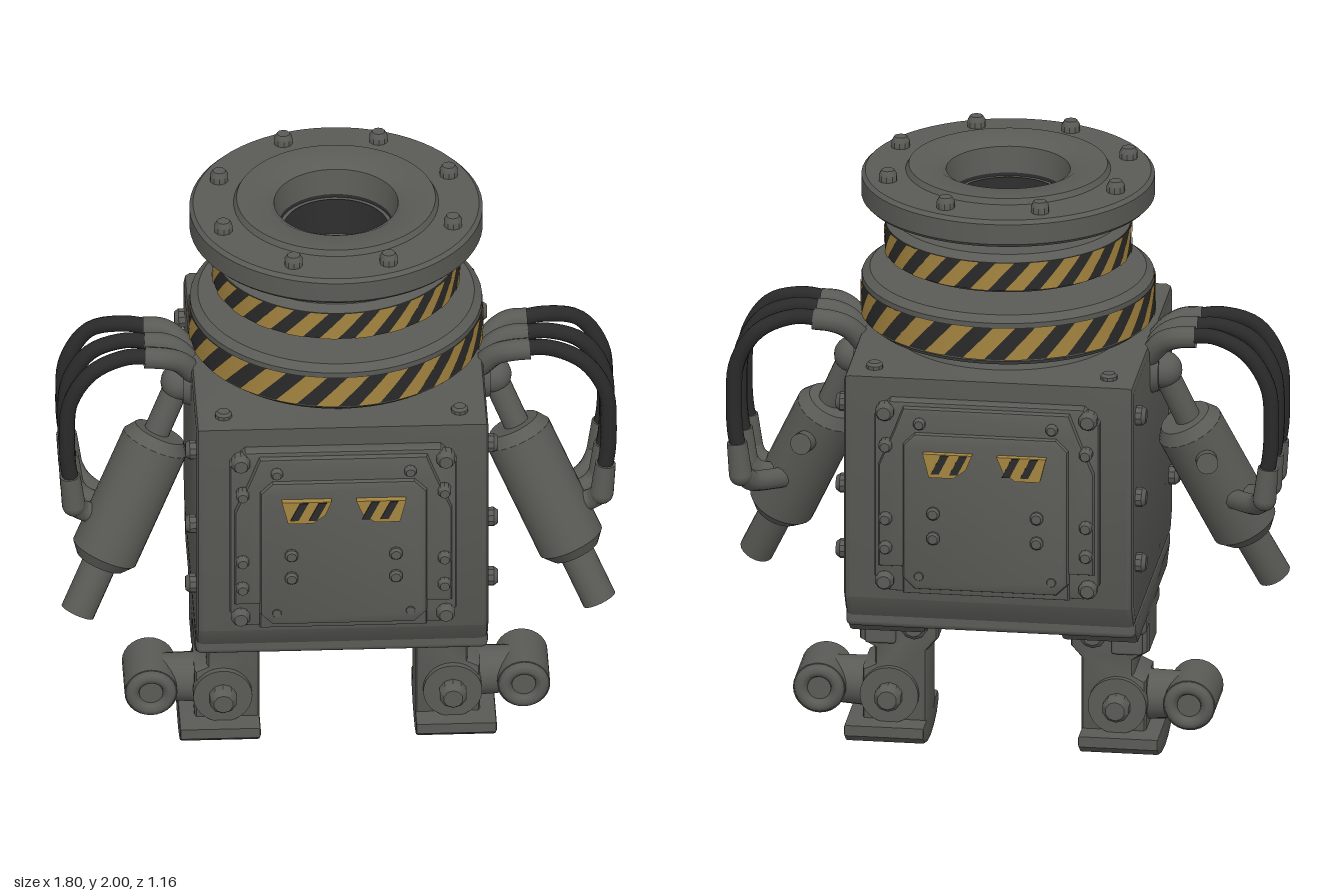
import * as THREE from 'three';
import { RoundedBoxGeometry } from 'three/addons/geometries/RoundedBoxGeometry.js';
import { toCreasedNormals } from 'three/addons/utils/BufferGeometryUtils.js';

const V = (x, y, z) => new THREE.Vector3(x, y, z);

export function createModel() {
  const mat = (name, color, side = THREE.FrontSide) => {
    const m = new THREE.MeshStandardMaterial({ color, side });
    m.name = name;
    return m;
  };
  const metal = mat('grey metal', 0x5a5a56, THREE.DoubleSide);
  const dark = mat('black rubber', 0x2a2a2a, THREE.DoubleSide);
  const yellow = mat('warning yellow', 0xa58540, THREE.DoubleSide);

  const root = new THREE.Group();
  const group = (name, parent = root) => {
    const g = new THREE.Group();
    g.name = name;
    parent.add(g);
    return g;
  };
  const add = (parent, name, geo, material = metal, x = 0, y = 0, z = 0) => {
    const m = new THREE.Mesh(geo, material);
    m.name = name;
    m.position.set(x, y, z);
    parent.add(m);
    return m;
  };
  const lathe = (pts, seg = 56) => toCreasedNormals(
    new THREE.LatheGeometry(pts.map(p => new THREE.Vector2(...p)), seg), 0.6);
  const extrude = (pts, depth, bevel = 0.012) => {
    const g = new THREE.ExtrudeGeometry(new THREE.Shape(pts.map(p => new THREE.Vector2(...p))), {
      depth: depth - 2 * bevel, bevelEnabled: bevel > 0, bevelThickness: bevel,
      bevelSize: bevel, bevelOffset: -bevel, bevelSegments: 2, curveSegments: 8 });
    g.translate(0, 0, bevel - depth / 2);
    return toCreasedNormals(g, 0.6);
  };
  // Cylinder between two points
  const rod = (parent, name, a, b, r0, r1 = r0, material = metal, sides = 20) => {
    const d = b.clone().sub(a);
    const m = add(parent, name, new THREE.CylinderGeometry(r1, r0, d.length(), sides), material);
    m.position.copy(a).addScaledVector(d, 0.5);
    m.quaternion.setFromUnitVectors(V(0, 1, 0), d.normalize());
    return m;
  };
  const tube = (parent, name, pts, r, material) => add(parent, name,
    new THREE.TubeGeometry(new THREE.CatmullRomCurve3(pts), 28, r, 10), material);
  // Domed bolt whose base sits at p and points along dir
  const bolt = (parent, p, dir, r, h) => {
    const m = add(parent, 'bolt', lathe([[r, 0], [r, h * 0.65], [r * 0.7, h], [0, h]], 10));
    m.position.copy(p);
    m.quaternion.setFromUnitVectors(V(0, 1, 0), dir);
    return m;
  };

  // Body with chamfered lower edges, and the skirt below it
  const body = group('body');
  const shell = extrude([[-0.43, 0.57], [0.43, 0.57], [0.48, 0.65], [0.48, 1.41], [-0.48, 1.41], [-0.48, 0.65]], 0.94, 0.02);
  add(body, 'bodyShell', shell.rotateY(-Math.PI / 2));
  add(body, 'skirt', new RoundedBoxGeometry(0.94, 0.065, 0.86, 2, 0.02), metal, 0, 0.56, 0);
  for (const sx of [-1, 1]) for (const sz of [-1, 1]) {
    for (const y of [1.29, 1.01, 0.785]) bolt(body, V(sx * 0.465, y, sz * 0.4), V(sx, 0, 0), 0.032, 0.038);
    bolt(body, V(sx * 0.38, 1.405, sz * 0.395), V(0, 1, 0), 0.028, 0.025);
  }

  // Armoured panel, used on the front and the back
  const octagon = (w, y0, y1, c) => [[-w + c, y0], [w - c, y0], [w, y0 + c], [w, y1 - c],
    [w - c, y1], [-w + c, y1], [-w, y1 - c], [-w, y0 + c]];
  const panel = name => {
    const p = group(name);
    add(p, 'panelBase', extrude(octagon(0.365, 0.69, 1.345, 0.05), 0.06), metal, 0, 0, 0.49);
    add(p, 'panelFrame', extrude([[-0.27, 0.69], [0.27, 0.69], [0.27, 0.78], [0.35, 0.78], [0.35, 1.13],
      [0.3, 1.25], [0.27, 1.33], [-0.27, 1.33], [-0.3, 1.25], [-0.35, 1.13], [-0.35, 0.78], [-0.27, 0.78]], 0.06, 0.015), metal, 0, 0, 0.51);
    add(p, 'panelDoor', extrude(octagon(0.27, 0.71, 1.25, 0.04), 0.06, 0.02), metal, 0, 0, 0.527);
    for (const s of [-1, 1]) {
      for (const y of [1.31, 0.73]) bolt(p, V(s * 0.33, y, 0.5), V(0, 0, 1), 0.031, 0.05);
      for (const y of [1.2, 0.95, 0.85]) bolt(p, V(s * 0.325, y, 0.525), V(0, 0, 1), 0.022, 0.04);
      for (const y of [0.98, 0.895]) bolt(p, V(s * 0.168, y, 0.55), V(0, 0, 1), 0.022, 0.025);
      for (const y of [1.28, 0.76]) bolt(p, V(s * 0.215, y, 0.53), V(0, 0, 1), 0.02, 0.03);
      // Slanted eye slot with warning stripes
      add(p, 'eye', extrude([[s * 0.04, 1.19], [s * 0.2, 1.19], [s * 0.18, 1.11], [s * 0.1, 1.11], [s * 0.06, 1.14]],
        0.04, 0), yellow, 0, 0, 0.558);
      for (const x of [0.085, 0.145]) {
        const c = s * x;
        add(p, 'eyeStripe', extrude([[c - 0.028, 1.123], [c - 0.002, 1.123], [c + 0.03, 1.188], [c + 0.004, 1.188]],
          0.004, 0), dark, 0, 0, 0.58);
      }
    }
    return p;
  };
  panel('frontPanel');
  panel('backPanel').rotation.y = Math.PI;

  // Neck: stacked rings, hollow top flange
  const neck = group('neck');
  add(neck, 'neckCollar', lathe([[0, 1.4], [0.37, 1.4], [0.34, 1.47], [0, 1.47]]));
  add(neck, 'neckColumn', lathe([[0.2, 1.45], [0.2, 1.8], [0.17, 1.81], [0.22, 1.88]], 40));
  const ring = (name, r, y0, y1, inner) => add(neck, name, lathe([[inner, y0], [r - 0.025, y0], [r, y0 + 0.02],
    [r, y1 - 0.02], [r - 0.025, y1], [inner, y1]], 64));
  ring('lowerRing', 0.47, 1.46, 1.63, 0.18);
  ring('upperRing', 0.395, 1.68, 1.81, 0.17);
  add(neck, 'topFlange', lathe([[0.17, 1.87], [0.46, 1.87], [0.472, 1.882], [0.472, 1.95], [0.46, 1.962],
    [0.33, 1.965], [0.32, 1.983], [0.23, 1.983], [0.2, 1.965], [0.185, 1.87]], 64));
  add(neck, 'openingWall', lathe([[0.186, 1.88], [0.145, 1.75]], 40), dark);
  add(neck, 'openingFloor', lathe([[0.15, 1.755], [0, 1.755]], 40));
  for (let i = 0; i < 8; i++) {
    const a = (i + 0.5) * Math.PI / 4;
    bolt(neck, V(Math.cos(a) * 0.4, 1.955, Math.sin(a) * 0.4), V(0, 1, 0), 0.03, 0.045);
  }

  // Slanted hazard stripes wrapped around a ring
  const stripes = (name, r, y0, y1, count) => {
    const g = group(name, neck);
    add(g, 'darkBand', new THREE.CylinderGeometry(r + 0.002, r + 0.002, y1 - y0, 64, 1, true), dark, 0, (y0 + y1) / 2, 0);
    const step = Math.PI * 2 / count;
    for (let i = 0; i < count; i++) {
      const geo = new THREE.PlaneGeometry(1, 1, 4, 4), p = geo.attributes.position;
      for (let k = 0; k < p.count; k++) {
        const v = p.getY(k), a = step * (i + p.getX(k) * 0.52 + v * 0.75);
        p.setXYZ(k, Math.sin(a) * (r + 0.005), y0 + (v + 0.5) * (y1 - y0), Math.cos(a) * (r + 0.005));
      }
      geo.computeVertexNormals();
      add(g, 'yellowStripe', geo, yellow);
    }
  };
  stripes('lowerStripes', 0.47, 1.485, 1.595, 22);
  stripes('upperStripes', 0.395, 1.695, 1.79, 22);

  for (const s of [-1, 1]) {
    const side = s > 0 ? 'left' : 'right';
    const P = (x, y, z) => V(s * x, y, z);

    // Arm: shoulder ball, linkage, piston cylinder and rod
    const arm = group(side + 'Arm');
    rod(arm, 'shoulderMount', P(0.45, 1.3, 0), P(0.495, 1.3, 0), 0.085, 0.07);
    add(arm, 'shoulderBall', new THREE.SphereGeometry(0.06, 20, 14), metal, s * 0.505, 1.3, 0);
    rod(arm, 'upperLink', P(0.51, 1.29, 0), P(0.6, 1.08, 0.035), 0.042);
    const top = P(0.575, 1.115, 0.03), mid = P(0.76, 0.715, 0.125);
    const lerp = t => top.clone().lerp(mid, t);
    rod(arm, 'pistonCap', lerp(-0.03), lerp(0.05), 0.085, 0.11);
    rod(arm, 'pistonBody', lerp(0.05), lerp(0.95), 0.11, 0.11, metal, 28);
    rod(arm, 'pistonEnd', lerp(0.95), lerp(1.03), 0.11, 0.08);
    rod(arm, 'pistonRod', lerp(1), P(0.84, 0.545, 0.175), 0.056);
    rod(arm, 'pistonPort', P(0.66, 1.02, -0.1), P(0.63, 1.0, 0.05), 0.035);

    // Three hoses from the shoulder to the piston
    for (const [i, z0, z1] of [[0, 0.09, 0.125], [1, 0, 0], [2, -0.09, -0.135]]) {
      const h = group(side + 'Hose' + (i + 1));
      tube(h, 'hoseInlet', [P(0.46, 1.36, z0 * 0.5), P(0.51, 1.42, z0 * 0.8), P(0.56, 1.445, z0), P(0.62, 1.45, z0)], 0.036, metal);
      tube(h, 'hose', [P(0.58, 1.45, z0), P(0.68, 1.46, z0 * 1.15), P(0.79, 1.42, z1), P(0.86, 1.31, z1),
        P(0.872, 1.17, z1), P(0.865, 1.05, z1), P(0.845, 0.97, z1)], 0.026, dark);
      rod(h, 'hoseCoupling', P(0.862, 1.03, z1), P(0.85, 0.92, z1), 0.033, 0.038);
      add(h, 'hoseElbow', new THREE.SphereGeometry(0.038, 14, 10), metal, s * 0.85, 0.92, z1);
      tube(h, 'hoseOutlet', [P(0.85, 0.925, z1), P(0.82, 0.885, z1 * 0.75 + 0.01), P(0.72, 0.86, z1 * 0.3 + 0.06)], 0.034, metal);
    }

    // Leg: hip rail, thigh, knee, outer joint and foot
    const leg = group(side + 'Leg');
    const hip = extrude([[-0.42, 0.575], [-0.42, 0.55], [-0.34, 0.485], [0.34, 0.485], [0.42, 0.55], [0.42, 0.575]], 0.25);
    add(leg, 'hipRail', hip.rotateY(-Math.PI / 2), metal, s * 0.345, 0, 0);
    add(leg, 'hipBlock', new RoundedBoxGeometry(0.25, 0.07, 0.34, 2, 0.02), metal, s * 0.345, 0.475, 0);
    add(leg, 'thigh', extrude([[0.215, 0.5], [0.215, 0.37], [0.25, 0.33], [0.25, 0.08], [0.46, 0.08], [0.46, 0.26],
      [0.42, 0.28], [0.42, 0.33], [0.47, 0.36], [0.47, 0.5]].map(([x, y]) => [s * x, y]), 0.21, 0.02));
    for (const z of [-1, 1]) {
      bolt(leg, P(0.29, 0.42, z * 0.1), V(0, 0, z), 0.045, 0.035);
      bolt(leg, P(0.37, 0.18, z * 0.12), V(0, 0, z), 0.045, 0.055);
      add(leg, 'hipLug', new RoundedBoxGeometry(0.1, 0.13, 0.03, 2, 0.01), metal, s * 0.4, 0.42, z * 0.108);
    }
    rod(leg, 'kneeDrum', P(0.37, 0.18, -0.125), P(0.37, 0.18, 0.125), 0.095, 0.095, metal, 28);
    rod(leg, 'outerArm', P(0.37, 0.18, 0), P(0.6, 0.185, 0), 0.085, 0.075);
    rod(leg, 'outerDrum', P(0.6, 0.185, -0.1), P(0.6, 0.185, 0.1), 0.085, 0.085, metal, 28);
    for (const z of [-0.1, 0.1])
      add(leg, 'outerDrumRim', new THREE.TorusGeometry(0.06, 0.022, 8, 24), metal, s * 0.6, 0.185, z);
    const sole = extrude([[-0.18, 0.09], [-0.18, 0.055], [-0.14, 0.025], [-0.07, 0.006], [0, 0], [0.07, 0.006],
      [0.14, 0.025], [0.18, 0.055], [0.18, 0.09]], 0.26, 0.008);
    add(leg, 'foot', sole.rotateY(-Math.PI / 2), metal, s * 0.38, 0, 0);
  }
  return root;
}
